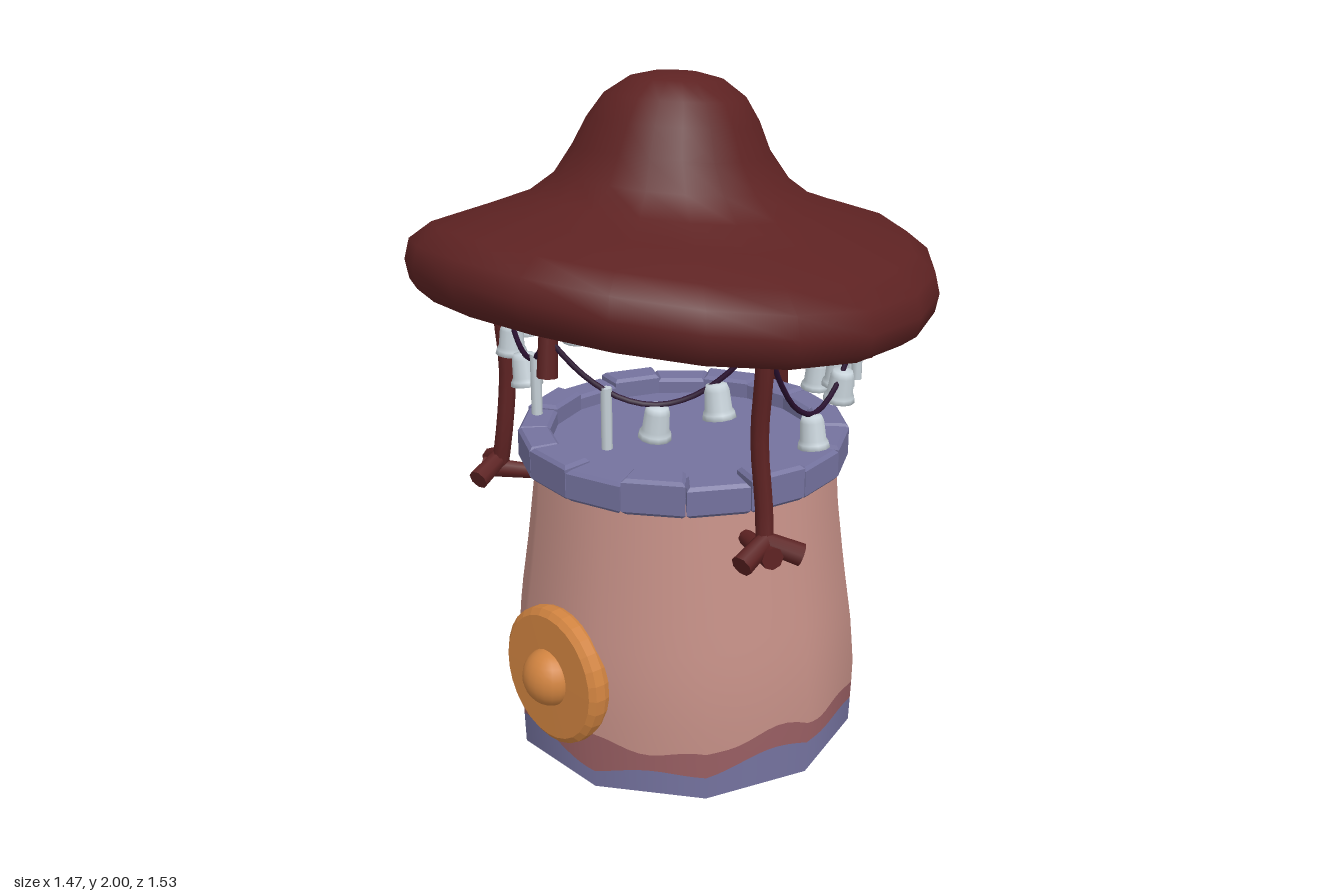
import * as THREE from 'three';
import { mergeVertices } from 'three/addons/utils/BufferGeometryUtils.js';

const paint = (name, color) => {
  const m = new THREE.MeshStandardMaterial({ color });
  m.name = name;
  return m;
};
const V = (x, y, z) => new THREE.Vector3(x, y, z);
const AXIS_Z = -0.035; // the tower stands slightly behind the cap's centre

export function createModel() {
  const maroon = paint('maroon', 0x5d2222);
  const rust = paint('rust', 0x6e2415);
  const ember = paint('ember', 0x963018);
  const pink = paint('pink plaster', 0xc48f86);
  const rose = paint('dark rose', 0x985e62);
  const slate = paint('slate purple', 0x74729e);
  const orange = paint('orange', 0xd08340);
  const pewter = paint('pewter', 0xc6d1d8);
  const cord = paint('dark cord', 0x2a1030);
  rust.side = THREE.DoubleSide;

  const model = new THREE.Group();
  const add = (name, geo, mat, parent = model) => {
    const m = new THREE.Mesh(geo, mat);
    m.name = name;
    parent.add(m);
    return m;
  };

  // Ten-sided tower wall, cut into bands with wavy borders
  const tower = new THREE.Group();
  tower.name = 'tower';
  tower.position.z = AXIS_Z;
  model.add(tower);
  const profile = [[0, 0.528], [0.2, 0.535], [0.35, 0.522], [0.55, 0.492], [0.75, 0.467], [0.9, 0.457]];
  const radiusAt = (y) => {
    const i = Math.max(1, profile.findIndex((p) => p[0] >= y));
    const [y0, r0] = profile[i - 1], [y1, r1] = profile[i];
    return r0 + (r1 - r0) * (y - y0) / (y1 - y0);
  };
  const side = Math.PI / 5;
  const band = (name, low, high, rows, mat) => {
    const cols = 100, pos = [], nor = [], idx = [];
    for (let i = 0; i <= cols; i++) {
      const a = (i / cols) * Math.PI * 2;
      const facet = Math.cos(side / 2) / Math.cos(((i % 10) / 10) * side - side / 2);
      for (let j = 0; j <= rows; j++) {
        const y = low(a) + (high(a) - low(a)) * j / rows;
        const r = radiusAt(y) * facet;
        pos.push(r * Math.cos(a), y, r * Math.sin(a));
        const slope = 0.14 * THREE.MathUtils.smoothstep(y, 0.12, 0.5);
        const n = V(Math.cos(a), slope, Math.sin(a)).normalize();
        nor.push(n.x, n.y, n.z);
        if (i < cols && j < rows) {
          const p = i * (rows + 1) + j, q = p + rows + 1;
          idx.push(p, p + 1, q, q, p + 1, q + 1);
        }
      }
    }
    const g = new THREE.BufferGeometry();
    g.setAttribute('position', new THREE.Float32BufferAttribute(pos, 3));
    g.setAttribute('normal', new THREE.Float32BufferAttribute(nor, 3));
    g.setIndex(idx);
    add(name, g, mat, tower);
  };
  const stoneLine = (a) => 0.08 + 0.022 * Math.sin(3 * a + 1.2) + 0.012 * Math.sin(8 * a);
  const stainLine = (a) => 0.155 + 0.022 * Math.sin(5 * a + 0.6) + 0.012 * Math.sin(11 * a);
  band('stoneBase', () => 0, stoneLine, 1, slate);
  band('stainBand', stoneLine, stainLine, 1, rose);
  band('plasterWall', stainLine, () => 0.89, 10, pink);
  add('towerBottom', new THREE.CircleGeometry(0.528, 10).rotateX(Math.PI / 2), slate, tower);
  add('balconyFloor', new THREE.CircleGeometry(0.45, 34).rotateX(-Math.PI / 2).translate(0, 0.91, 0), slate, tower);

  // Ring of bevelled stone blocks
  const blocks = 17, half = Math.PI / blocks - 0.022;
  for (let i = 0; i < blocks; i++) {
    const s = Math.sin(half), c = Math.cos(half);
    const shape = new THREE.Shape([[-1, 0.48], [1, 0.48], [1, 0.405], [-1, 0.405]].map(([k, r]) =>
      new THREE.Vector2(k * r * s, r * c)));
    const g = new THREE.ExtrudeGeometry(shape, {
      depth: 0.078 + 0.008 * Math.sin(i * 2.7), bevelEnabled: true,
      bevelThickness: 0.01, bevelSize: 0.01, bevelSegments: 1,
    });
    g.rotateX(-Math.PI / 2).rotateY((i + 0.25) * Math.PI * 2 / blocks).translate(0, 0.875, 0);
    add('parapetBlock', g, slate, tower);
  }

  // Round door with a domed knob
  const door = new THREE.Group();
  door.name = 'door';
  door.position.set(0, 0.305, 0.44);
  door.rotation.x = -0.04;
  model.add(door);
  const disc = [[0.2, 0], [0.207, 0.02], [0.205, 0.05], [0.187, 0.064], [0, 0.066]];
  const flat = new THREE.LatheGeometry(disc.map((p) => new THREE.Vector2(...p)), 28).toNonIndexed();
  flat.computeVertexNormals();
  add('doorPanel', flat.rotateX(Math.PI / 2), orange, door);
  add('doorKnob', new THREE.SphereGeometry(0.086, 20, 14).scale(1, 1, 0.9).translate(0, 0, 0.055), orange, door);

  // Mushroom cap: a turned profile, tilted and bent by a rule
  const cap = (name, pts, mat) => {
    const g0 = new THREE.LatheGeometry(pts.map((p) => new THREE.Vector2(...p)), 20);
    g0.deleteAttribute('uv');
    g0.deleteAttribute('normal');
    const p = g0.attributes.position;
    for (let i = 0; i < p.count; i++) {
      const x = p.getX(i), h = p.getY(i), z = p.getZ(i);
      const a = Math.atan2(x, z), w = Math.min(1, Math.hypot(x, z) / 0.735);
      const lean = Math.max(0, Math.min(1, (h - 0.12) / 0.4));
      const bend = w * 0.06 * Math.cos(a) + w * w * 0.042 * Math.cos(2 * a) + w * 0.012 * Math.sin(a);
      p.setXYZ(i, x + 0.04 * lean, 1.459 + h + bend, z * 1.04 + 0.03 * Math.min(1, lean * 2));
    }
    const g = mergeVertices(g0, 1e-4);
    g.computeVertexNormals();
    add(name, g, mat);
  };
  cap('mushroomCap', [[0.575, -0.07], [0.62, -0.108], [0.685, -0.11], [0.727, -0.075], [0.737, -0.02],
    [0.722, 0.04], [0.66, 0.09], [0.52, 0.14], [0.4, 0.187], [0.32, 0.25], [0.268, 0.33],
    [0.232, 0.41], [0.19, 0.475], [0.125, 0.522], [0.06, 0.538], [0, 0.541]], maroon);
  cap('capUnderside', [[0, 0.21], [0.2, 0.19], [0.4, 0.11], [0.52, 0.01], [0.575, -0.07]], rust);
  add('capLamp', new THREE.SphereGeometry(0.11, 16, 10).scale(1, 0.5, 1).translate(0, 1.62, 0), ember);

  // Rods between two points
  const rod = (name, a, b, ra, rb, mat, parent) => {
    const d = b.clone().sub(a);
    const m = add(name, new THREE.CylinderGeometry(rb, ra, d.length(), 8), mat, parent);
    m.position.copy(a).addScaledVector(d, 0.5);
    m.quaternion.setFromUnitVectors(V(0, 1, 0), d.normalize());
  };

  // Anchors round the tower: three long posts with toes alternate with short stubs
  const anchors = [
    { x: 0.5, z: 0.15, low: 0 }, { x: 0.135, z: 0.575, low: 1.28 },
    { x: -0.41, z: 0.31, low: 0 }, { x: -0.46, z: -0.2, low: 1.17 },
    { x: -0.09, z: -0.55, low: 0 }, { x: 0.43, z: -0.34, low: 1.2 },
  ];
  for (const { x, z, low } of anchors) {
    if (low) {
      rod('hangingStub', V(x, low, z), V(x * 0.9, 1.54, z * 0.95), 0.028, 0.022, maroon);
      continue;
    }
    const post = new THREE.Group();
    post.name = 'post';
    post.position.z = AXIS_Z;
    post.rotation.y = Math.atan2(x, z - AXIS_Z);
    model.add(post);
    const r = Math.hypot(x, z - AXIS_Z);
    const path = new THREE.CatmullRomCurve3([V(0, 0.78, r + 0.03), V(0.005, 0.9, r + 0.01),
      V(-0.005, 1.1, r - 0.006), V(0, 1.3, r + 0.005), V(0, 1.54, r)]);
    add('postStem', new THREE.TubeGeometry(path, 12, 0.026, 8), maroon, post);
    rod('middleToe', V(0, 0.775, 0.43), V(0, 0.785, r + 0.08), 0.022, 0.032, maroon, post);
    for (const s of [-1, 1]) {
      rod('sideToe', V(0, 0.815, r + 0.03), V(s * 0.09, 0.778, r + 0.075), 0.028, 0.032, maroon, post);
    }
  }

  // Sagging garlands with bells and chimes: lowest height, bell places, chime place
  const spans = [
    [1.2, [0.22, 0.49], 0.73], [1.25, [0.52, 0.77], 0.24], [1.2, [0.16, 0.6], 0.86],
    [1.16, [0.47, 0.75], 0.12], [1.1, [0.48, 0.72], 0.85], [1.1, [0.22, 0.53], 0.08],
  ];
  const bellShape = [[0, -0.05], [0.03, -0.06], [0.037, -0.094], [0.046, -0.094], [0.043, -0.08],
    [0.037, -0.07], [0.034, -0.02], [0.028, -0.004], [0, 0]];
  const bellGeo = new THREE.LatheGeometry(bellShape.map((p) => new THREE.Vector2(...p)), 12);
  const chimeGeo = new THREE.CylinderGeometry(0.015, 0.015, 0.17, 8).translate(0, -0.075, 0);
  spans.forEach(([lowest, bells, chime], i) => {
    const a = anchors[i], b = anchors[(i + 1) % 6];
    const at = (t) => V(a.x + (b.x - a.x) * t, 1.39 - 4 * (1.39 - lowest) * t * (1 - t), a.z + (b.z - a.z) * t);
    const path = new THREE.CatmullRomCurve3([0, 0.17, 0.33, 0.5, 0.67, 0.83, 1].map(at));
    add('garlandCord', new THREE.TubeGeometry(path, 20, 0.008, 5), cord);
    for (const t of bells) {
      const bell = add('bell', bellGeo, pewter);
      bell.position.copy(at(t));
      bell.rotation.z = 0.15 * Math.sin(i * 3 + t * 9);
    }
    add('chime', chimeGeo, pewter).position.copy(at(chime));
  });

  return model;
}
